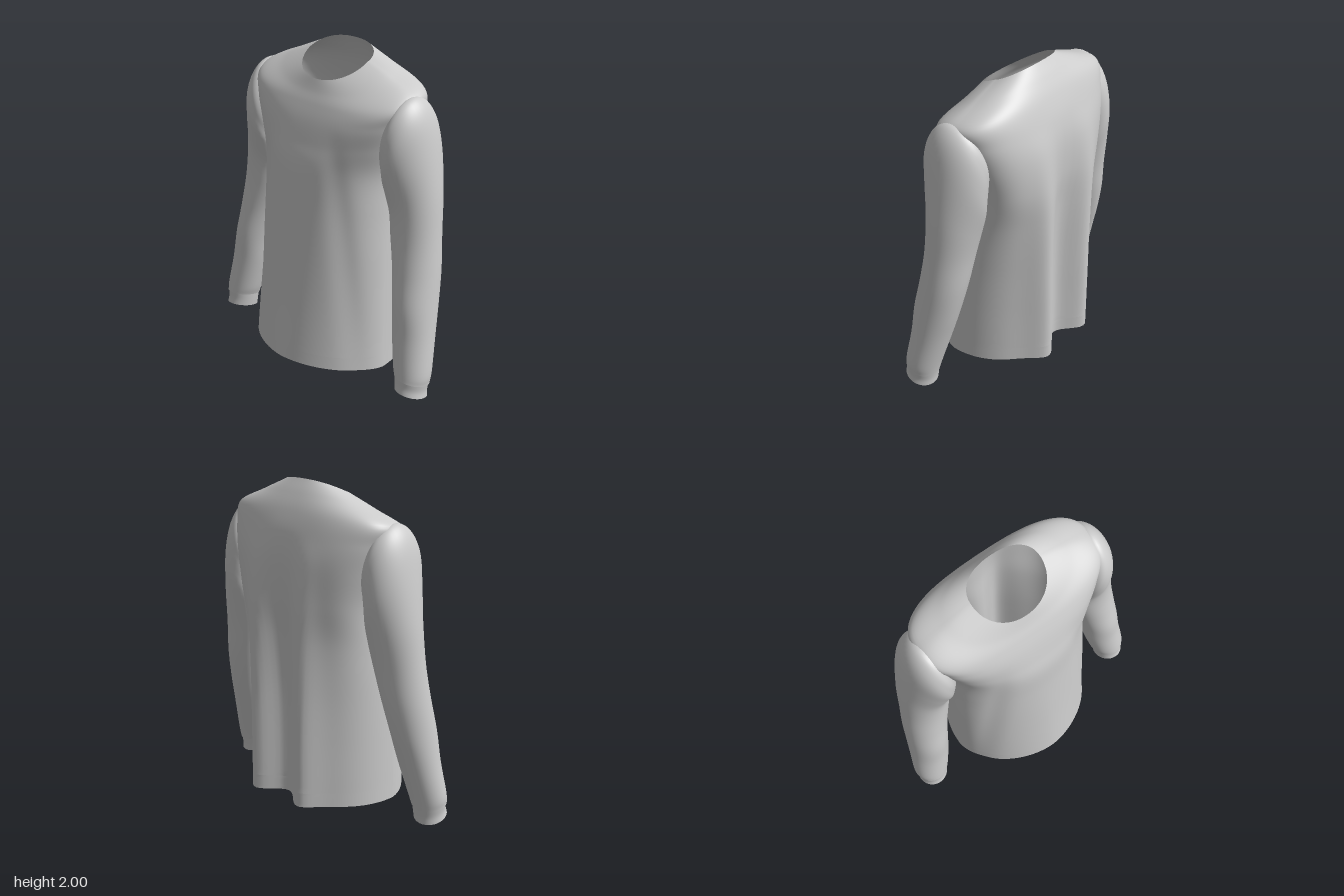
import * as THREE from 'three';

const cloth = new THREE.MeshStandardMaterial({ color: 0xcccccc, side: THREE.DoubleSide, roughness: 0.9 });
const bump = (x, centre, width) => Math.exp(-(((x - centre) / width) ** 2));

// Smooth interpolation through rows of numbers, t from 0 to 1
function sampleRows(rows, t) {
  const f = t * (rows.length - 1);
  const i = Math.min(Math.floor(f), rows.length - 2);
  const u = f - i;
  const b = rows[i], c = rows[i + 1];
  const a = rows[i - 1] ?? b.map((v, k) => 2 * v - c[k]);
  const d = rows[i + 2] ?? c.map((v, k) => 2 * v - b[k]);
  return b.map((v, k) => v + 0.5 * u * (c[k] - a[k]
    + u * (2 * a[k] - 5 * v + 4 * c[k] - d[k] + u * (3 * (v - c[k]) + d[k] - a[k]))));
}

// Open tube through closed rings, from the lowest ring to the highest
function loft(name, rows, ringPoint, steps, sides) {
  const positions = [], indices = [];
  for (let j = 0; j <= steps; j++) {
    const row = sampleRows(rows, j / steps);
    for (let i = 0; i < sides; i++) positions.push(...ringPoint(row, (i / sides) * Math.PI * 2));
  }
  for (let j = 0; j < steps; j++) {
    for (let i = 0; i < sides; i++) {
      const a = j * sides + i, b = j * sides + ((i + 1) % sides);
      indices.push(a, a + sides, b, b, a + sides, b + sides);
    }
  }
  const geometry = new THREE.BufferGeometry();
  geometry.setAttribute('position', new THREE.Float32BufferAttribute(positions, 3));
  geometry.setIndex(indices);
  geometry.computeVertexNormals();
  const mesh = new THREE.Mesh(geometry, cloth);
  mesh.name = name;
  return mesh;
}

// Body ring: rounded outline with its own front and back depth, plus draped folds
function bodyPoint([w, ySide, yFront, yBack, zMid, zFront, zBack, nFront, nBack, fold], angle) {
  const c = Math.cos(angle), s = Math.sin(angle);
  const front = s >= 0;
  const n = 2 / (front ? nFront : nBack);
  const x = w * Math.sign(c) * Math.abs(c) ** n;
  const depth = Math.abs(s) ** n;
  const y = ySide + ((front ? yFront : yBack) - ySide) * Math.abs(s);
  let z = zMid + ((front ? zFront : zBack) - zMid) * depth;
  const ax = Math.abs(x);
  if (front) z -= 0.025 * fold * depth * bump(ax, 0.3 + (1.2 - y) * 0.14, 0.06);
  else z -= fold * depth * (0.07 * bump(ax, 0.2, 0.09) - 0.08 * bump(ax, 0, 0.1));
  return [x, y, z];
}

// Sleeve ring: spans an inner and an outer point, with a front-to-back tilt
const sleevePoint = (side) => ([xIn, yIn, xOut, yOut, zBack, zFront, tilt], angle) => {
  const c = Math.cos(side * angle), s = Math.sin(side * angle);
  return [
    side * ((xIn + xOut) / 2 + ((xOut - xIn) / 2) * c),
    (yIn + yOut) / 2 + ((yOut - yIn) / 2) * c + tilt * s,
    (zBack + zFront) / 2 + ((zFront - zBack) / 2) * s,
  ];
};

// half width, y side/front/back, z middle/front/back, roundness front/back, fold strength
const hemTop = [0.5, 0.15, 0.18, 0.17, 0.06, 0.45, -0.42, 1.8, 2.1, 1];
const hemRows = [
  [0.503, 0.06, 0.10, 0.08, 0.06, 0.46, -0.42, 1.8, 2.1, 1],
  hemTop,
];
const bodyRows = [
  hemTop,
  [0.49, 0.50, 0.50, 0.50, 0.05, 0.41, -0.415, 1.8, 2.15, 1],
  [0.48, 0.80, 0.80, 0.80, 0.03, 0.375, -0.41, 1.85, 2.3, 0.9],
  [0.47, 1.08, 1.10, 1.10, -0.01, 0.34, -0.41, 2, 2.6, 0.7],
  [0.475, 1.30, 1.34, 1.34, -0.06, 0.315, -0.41, 2.2, 3.1, 0.4],
  [0.52, 1.50, 1.48, 1.55, -0.07, 0.275, -0.395, 2.5, 3.1, 0.15],
  [0.565, 1.67, 1.60, 1.70, -0.07, 0.235, -0.36, 2.8, 2.9, 0],
  [0.58, 1.785, 1.69, 1.83, -0.06, 0.195, -0.31, 2.7, 2.7, 0],
  [0.40, 1.868, 1.755, 1.925, -0.06, 0.16, -0.255, 2.3, 2.4, 0],
  [0.23, 1.93, 1.82, 2.0, -0.06, 0.13, -0.20, 2.1, 2.3, 0],
];
// inner x/y, outer x/y, z back/front, tilt
const cuffRows = [
  [0.665, 0.035, 0.86, 0.02, 0.0, 0.205, 0.026],
  [0.66, 0.08, 0.855, 0.06, -0.003, 0.197, 0.024],
  [0.655, 0.13, 0.86, 0.11, -0.012, 0.195, 0.022],
];
const sleeveRows = [
  [0.65, 0.125, 0.865, 0.105, -0.015, 0.198, 0.022],
  [0.627, 0.20, 0.868, 0.18, -0.035, 0.19, 0.01],
  [0.585, 0.40, 0.845, 0.38, -0.09, 0.165, 0],
  [0.56, 0.58, 0.825, 0.58, -0.14, 0.15, 0],
  [0.52, 0.78, 0.805, 0.78, -0.18, 0.115, 0],
  [0.475, 0.97, 0.78, 1.0, -0.205, 0.09, 0],
  [0.46, 1.08, 0.755, 1.25, -0.235, 0.09, 0],
  [0.455, 1.17, 0.715, 1.50, -0.265, 0.125, 0],
  [0.455, 1.23, 0.675, 1.67, -0.27, 0.15, 0],
  [0.455, 1.28, 0.625, 1.765, -0.265, 0.15, 0],
  [0.45, 1.32, 0.565, 1.797, -0.25, 0.135, 0],
  [0.43, 1.37, 0.49, 1.75, -0.2, 0.08, 0],
];

export function createModel() {
  const shirt = new THREE.Group();
  shirt.name = 'longSleeveShirt';
  shirt.add(loft('body', bodyRows, bodyPoint, 72, 128));
  shirt.add(loft('hemBand', hemRows, bodyPoint, 4, 128));

  for (const [label, side] of [['left', 1], ['right', -1]]) {
    const arm = new THREE.Group();
    arm.name = label + 'Arm';
    arm.add(loft(label + 'Sleeve', sleeveRows, sleevePoint(side), 66, 48));
    arm.add(loft(label + 'Cuff', cuffRows, sleevePoint(side), 8, 48));
    shirt.add(arm);
  }
  return shirt;
}
